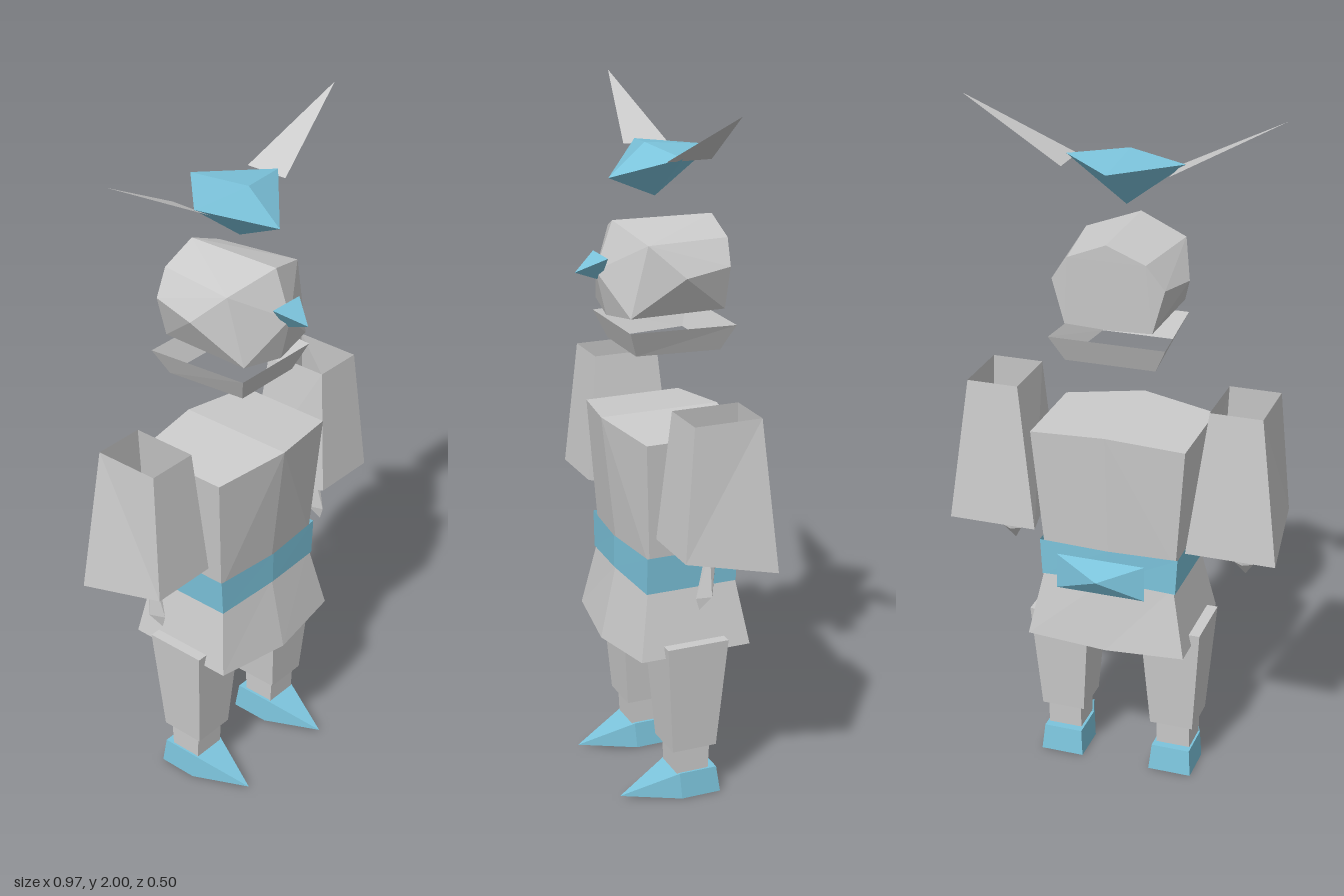
import * as THREE from 'three';
import { ConvexGeometry } from 'three/addons/geometries/ConvexGeometry.js';

const grey = new THREE.MeshStandardMaterial({ color: 0xcccccc, flatShading: true, side: THREE.DoubleSide });
const blue = new THREE.MeshStandardMaterial({ color: 0x7cc4dc, flatShading: true, side: THREE.DoubleSide });

const vec = (p) => new THREE.Vector3(...p);
// Adds the mirrored twin of every point that is off the centre plane
const both = (pts) => pts.flatMap(([x, y, z]) => (x ? [[x, y, z], [-x, y, z]] : [[x, y, z]]));
// Rectangle ring, counter-clockwise seen from above
const rect = (x0, x1, z0, z1, y0, y1 = y0) => [[x0, y1, z1], [x1, y1, z1], [x1, y0, z0], [x0, y0, z0]];
const flip = (pts, s) => pts.map(([x, y, z]) => [x * s, y, z]);

// Flat-faced closed solid around a few corner points
function solid(name, pts, material = grey) {
  const mesh = new THREE.Mesh(new ConvexGeometry(pts.map(vec)), material);
  mesh.name = name;
  return mesh;
}

// Open band joining successive closed rings, listed from bottom to top
function band(name, rings, material = grey) {
  const pos = [];
  for (let r = 0; r + 1 < rings.length; r++) {
    const a = rings[r], b = rings[r + 1], n = a.length;
    for (let i = 0; i < n; i++) {
      const j = (i + 1) % n;
      pos.push(...a[i], ...a[j], ...b[j], ...a[i], ...b[j], ...b[i]);
    }
  }
  const geo = new THREE.BufferGeometry();
  geo.setAttribute('position', new THREE.Float32BufferAttribute(pos, 3));
  geo.computeVertexNormals();
  const mesh = new THREE.Mesh(geo, material);
  mesh.name = name;
  return mesh;
}

// Six-cornered body section with a front and a back ridge
const section = (x, yc, y, zf, zfc, zb, zbc) =>
  [[-x, y, zf], [0, yc, zfc], [x, y, zf], [x, y, zb], [0, yc, zbc], [-x, y, zb]];

// Shrinks a ring towards its centre
function inset(ring, k) {
  const c = [0, 1, 2].map((a) => ring.reduce((sum, p) => sum + p[a], 0) / ring.length);
  return ring.map((p) => p.map((v, a) => c[a] + (v - c[a]) * k));
}

function arm(s, side) {
  const g = new THREE.Group();
  g.name = side + 'Arm';
  const top = rect(0.28, 0.43, -0.11, 0.085, 1.2);
  const cuff = [[0.255, 0.83, 0.12], [0.455, 0.83, 0.12], [0.485, 0.775, -0.14], [0.225, 0.775, -0.14]];
  const rim = inset(cuff, 0.88), hole = inset(cuff, 0.72);
  g.add(
    band('sleeve', [flip(cuff, s), flip(top, s)]),
    band('cuffRim', [flip(rim, s), flip(cuff, s)]),
    band('cuffLining', [flip(hole, s), flip(rim, s)], blue),
    solid('hand', flip([
      [0.343, 0.82, 0.01], [0.367, 0.82, 0.01], [0.355, 0.82, -0.015],
      [0.328, 0.69, 0.01], [0.383, 0.69, 0.01], [0.355, 0.69, -0.005],
      [0.355, 0.68, 0.045], [0.355, 0.645, 0.035],
    ], s)),
  );
  return g;
}

function leg(s, side) {
  const g = new THREE.Group();
  g.name = side + 'Leg';
  g.add(
    solid('trouser', flip([...rect(0.08, 0.26, -0.1, 0.085, 0.49), ...rect(0.105, 0.235, -0.075, 0.06, 0.155)], s)),
    solid('ankle', flip([...rect(0.12, 0.222, -0.06, 0.045, 0.16), ...rect(0.12, 0.222, -0.055, 0.04, 0.06)], s)),
    solid('boot', flip([
      ...rect(0.112, 0.228, -0.08, 0.035, 0.078), ...rect(0.105, 0.235, -0.09, 0.03, 0),
      [0.17, 0.012, 0.198],
    ], s), blue),
  );
  return g;
}

function horn(s, side) {
  // Thin triangular blade sweeping outwards
  const geo = new THREE.BufferGeometry();
  geo.setAttribute('position', new THREE.Float32BufferAttribute(
    [s * 0.15, 1.84, 0.045, s * 0.45, 2, -0.03, s * 0.15, 1.84, -0.085], 3));
  if (s < 0) geo.setIndex([0, 2, 1]);
  geo.computeVertexNormals();
  const mesh = new THREE.Mesh(geo, grey);
  mesh.name = side + 'Horn';
  return mesh;
}

export function createModel() {
  const model = new THREE.Group();
  model.name = 'floatingPartsFigure';

  // Head, beak, hat and collar
  model.add(
    solid('hat', both([
      [0, 1.87, 0.045], [0, 1.78, 0.15], [0, 1.722, 0.015], [0, 1.85, -0.157], [0.168, 1.85, 0.005],
    ]), blue),
    solid('head', both([
      [0, 1.665, 0.14], [0, 1.66, -0.155], [0.145, 1.62, 0.095], [0.11, 1.615, -0.153],
      [0.185, 1.53, 0], [0.16, 1.545, -0.14], [0, 1.53, 0.19],
      [0.13, 1.42, 0.14], [0, 1.403, 0.16], [0.125, 1.42, -0.14], [0, 1.415, -0.14],
    ])),
    solid('beak', both([[0.055, 1.573, 0.175], [0, 1.502, 0.175], [0, 1.53, 0.25]]), blue),
    band('collar', [
      [[-0.105, 1.307, 0.115], [0.105, 1.307, 0.115], [0.13, 1.307, -0.125], [-0.13, 1.307, -0.125]],
      [[-0.14, 1.382, 0.145], [0.14, 1.382, 0.145], [0.167, 1.382, -0.157], [-0.167, 1.382, -0.157]],
    ]),
  );

  // Torso, belt with bow, and skirt
  model.add(
    solid('torso', [
      ...section(0.226, 1.11, 1.09, 0.135, 0.178, -0.155, -0.176),
      ...section(0.196, 0.72, 0.72, 0.115, 0.135, -0.135, -0.15),
    ]),
    band('belt', [
      section(0.2, 0.655, 0.643, 0.125, 0.143, -0.148, -0.156),
      section(0.206, 0.752, 0.752, 0.125, 0.143, -0.148, -0.158),
    ], blue),
    solid('beltBow', both([
      [0.13, 0.752, -0.215], [0.13, 0.645, -0.215], [0, 0.7, -0.255], [0, 0.7, -0.165],
    ]), blue),
    band('skirt', [
      section(0.235, 0.44, 0.455, 0.155, 0.185, -0.178, -0.178),
      section(0.193, 0.66, 0.66, 0.118, 0.138, -0.145, -0.15),
    ]),
  );

  // Paired parts
  for (const [s, side] of [[1, 'left'], [-1, 'right']]) model.add(horn(s, side), arm(s, side), leg(s, side));
  return model;
}
